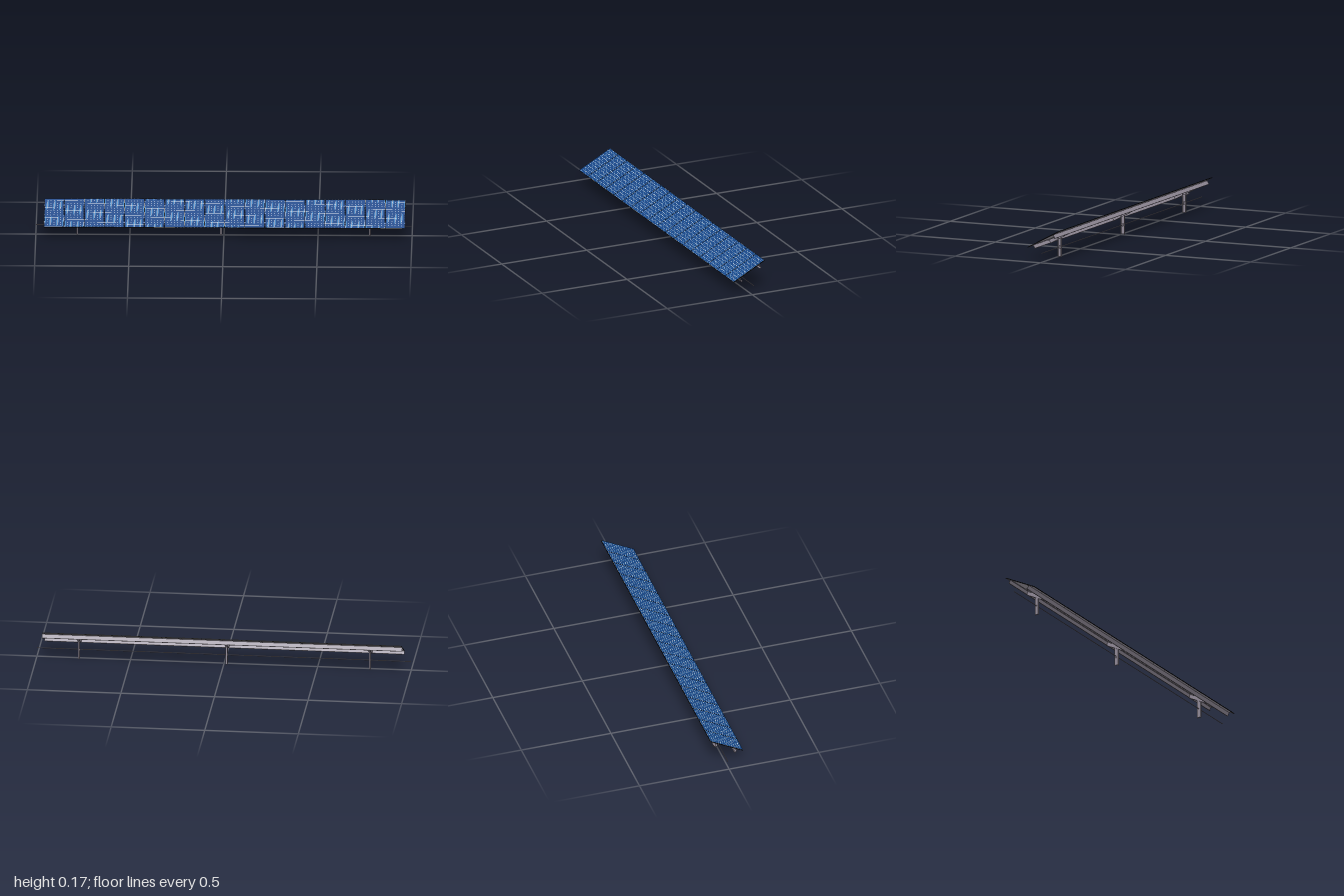
import * as THREE from 'three';
import { mergeGeometries } from 'three/addons/utils/BufferGeometryUtils.js';

const material = (name, color) => Object.assign(new THREE.MeshStandardMaterial({ color }), { name });

// Box geometry of a given size, moved to a centre point
const box = (w, h, d, x = 0, y = 0, z = 0) => new THREE.BoxGeometry(w, h, d).translate(x, y, z);

const mesh = (name, geometry, mat) => {
  const m = new THREE.Mesh(geometry, mat);
  m.name = name;
  return m;
};

export function createModel() {
  const model = new THREE.Group();
  model.name = 'solarArray';
  const steel = material('galvanised steel', 0x938c99);
  const frameBlack = material('black frame', 0x0c0d10);
  const cellBlue = material('cell blue', 0x184788);
  const gridWhite = material('cell sheet white', 0xdcdfe2);
  const busBlue = material('busbar light blue', 0x55a8e0);
  const backGrey = material('backsheet grey', 0x9c96a0);

  const COUNT = 18, PITCH = 1.92 / COUNT, W = PITCH - 0.0012, L = 0.206, T = 0.0036;
  const COLS = 6, ROWS = 12, BORDER = 0.0009;
  const innerW = W - 2 * BORDER, innerL = L - 2 * BORDER;
  const cw = innerW / COLS, cl = innerL / ROWS;

  // One wafer outline with clipped corners
  const wafer = (cx, cy) => {
    const a = cw / 2 - 0.0003, b = cl / 2 - 0.0003, c = 0.0025;
    const pts = [[a - c, -b], [a, c - b], [a, b - c], [a - c, b], [c - a, b], [-a, b - c], [-a, c - b], [c - a, -b]];
    return new THREE.Shape(pts.map(([x, y]) => new THREE.Vector2(cx + x, cy + y)));
  };
  const wafers = [], bars = [];
  for (let i = 0; i < COLS; i++) {
    const cx = (i + 0.5) * cw - innerW / 2;
    for (let j = 0; j < ROWS; j++) wafers.push(wafer(cx, (j + 0.5) * cl - innerL / 2));
    for (const s of [-1, 1]) {
      bars.push(new THREE.PlaneGeometry(0.0005, innerL).rotateX(-Math.PI / 2).translate(cx + s * cw / 5, T / 2 + 0.0012, 0));
    }
  }
  const flat = (w, l, y, up = true) =>
    new THREE.PlaneGeometry(w, l).rotateX(up ? -Math.PI / 2 : Math.PI / 2).translate(0, y, 0);
  const parts = [
    ['panelFrame', box(W, T, L), frameBlack],
    ['cellSheet', flat(innerW, innerL, T / 2 + 0.0004), gridWhite],
    ['cells', new THREE.ShapeGeometry(wafers).rotateX(-Math.PI / 2).translate(0, T / 2 + 0.0008, 0), cellBlue],
    ['busbars', mergeGeometries(bars), busBlue],
    ['backsheet', flat(W, L, -T / 2 - 0.0004, false), backGrey],
  ];

  // Tilted table carrying the row of panels
  const table = new THREE.Group();
  table.name = 'tiltedTable';
  table.position.set(0.004, 0.1205, 0.001);
  table.rotation.x = THREE.MathUtils.degToRad(28);
  model.add(table);
  for (let i = 0; i < COUNT; i++) {
    const panel = new THREE.Group();
    panel.name = `panel${i + 1}`;
    panel.position.x = (i - (COUNT - 1) / 2) * PITCH;
    for (const part of parts) panel.add(mesh(...part));
    table.add(panel);
  }

  // Channel section running along z: web on one side, flanges above and below
  const channel = (width, depth, length, t = 0.0025) => mergeGeometries([
    box(t, depth, length, -width / 2 + t / 2),
    box(width, t, length, 0, depth / 2 - t / 2),
    box(width, t, length, 0, -depth / 2 + t / 2),
  ]);

  // Long purlins under the panels, webs facing outwards
  for (const s of [-1, 1]) {
    const purlin = mesh(s > 0 ? 'lowerPurlin' : 'upperPurlin', channel(0.01, 0.021, 1.924, 0.0015), steel);
    purlin.rotation.y = s * Math.PI / 2;
    purlin.position.set(0, -0.0135, s * 0.062);
    table.add(purlin);
  }

  // Three supports, each a post, a sloping beam and a rod collar
  for (const x of [-0.78, -0.015, 0.775]) {
    const beam = mesh('slopingBeam', channel(0.014, 0.0205, 0.132), steel);
    beam.position.set(x - table.position.x, -0.0148, 0);
    table.add(beam);
    const support = new THREE.Group();
    support.name = 'support';
    support.position.set(x, 0, -0.007);
    support.add(mesh('post', channel(0.01, 0.021, 0.1).rotateX(Math.PI / 2).translate(0, 0.05, 0), steel));
    support.add(mesh('rodCollar',
      new THREE.CylinderGeometry(0.008, 0.008, 0.011, 20).rotateZ(Math.PI / 2).translate(0, 0.051, 0), steel));
    model.add(support);
  }

  // Thin rod linking the posts
  model.add(mesh('linkRod',
    new THREE.CylinderGeometry(0.0022, 0.0022, 2, 12).rotateZ(Math.PI / 2).translate(0, 0.051, -0.007), steel));
  return model;
}
